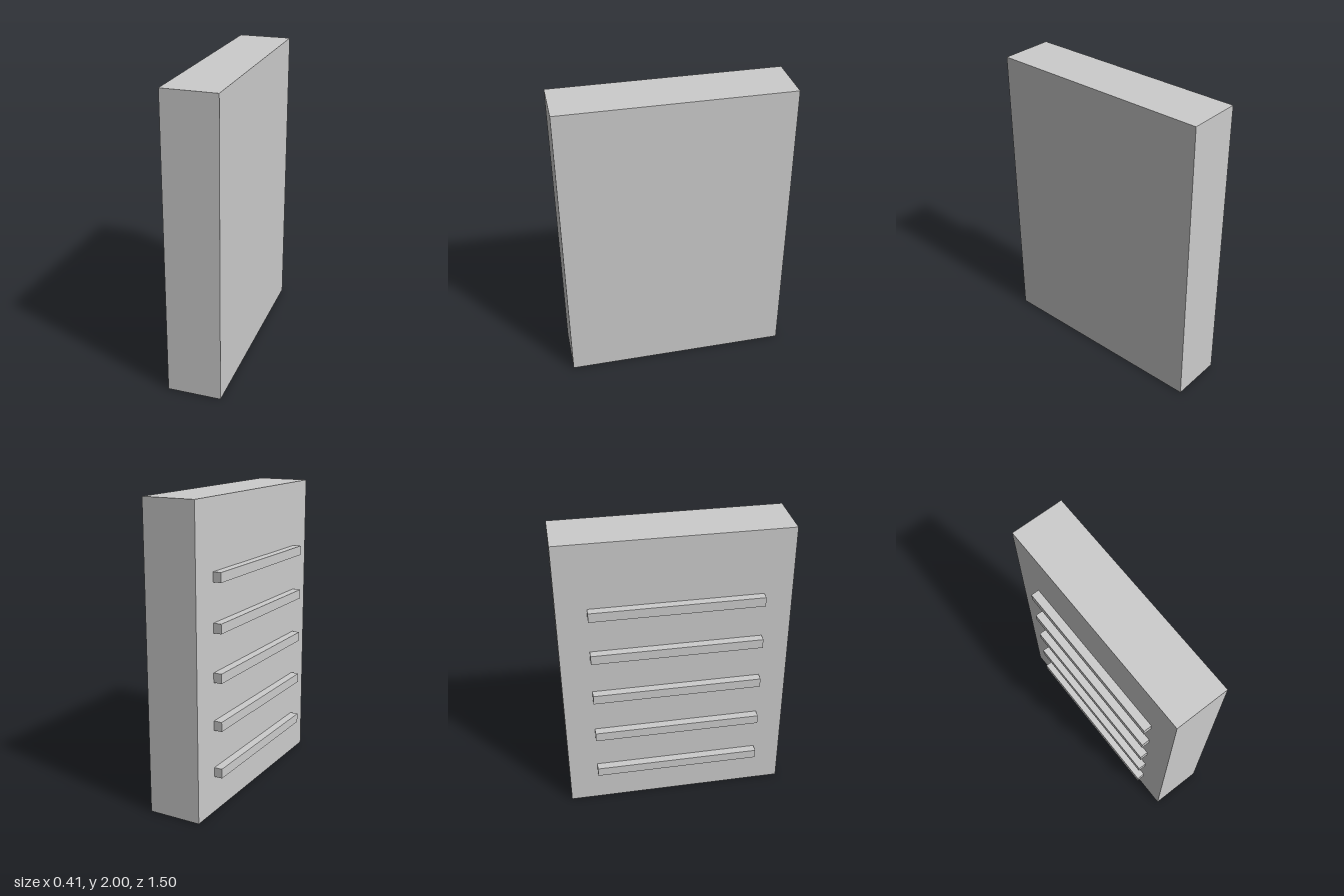
import * as THREE from 'three';

export function createModel() {
  const model = new THREE.Group();
  const material = new THREE.MeshStandardMaterial({ color: 0xcccccc, flatShading: true });

  // Box from its lower and upper corners
  function addBox(name, min, max) {
    const size = max.map((v, i) => v - min[i]);
    const mesh = new THREE.Mesh(new THREE.BoxGeometry(...size), material);
    mesh.position.set(...max.map((v, i) => (v + min[i]) / 2));
    mesh.name = name;
    model.add(mesh);
  }

  // Upright slab
  addBox('panel', [-0.151, 0, -0.75], [0.205, 2, 0.75]);

  // Five evenly spaced horizontal bars on the right face
  for (let i = 0; i < 5; i++) {
    const y = 0.241 + i * 0.3137;
    addBox(`bar${i + 1}`, [-0.206, y, -0.555], [-0.151, y + 0.063, 0.565]);
  }

  return model;
}
